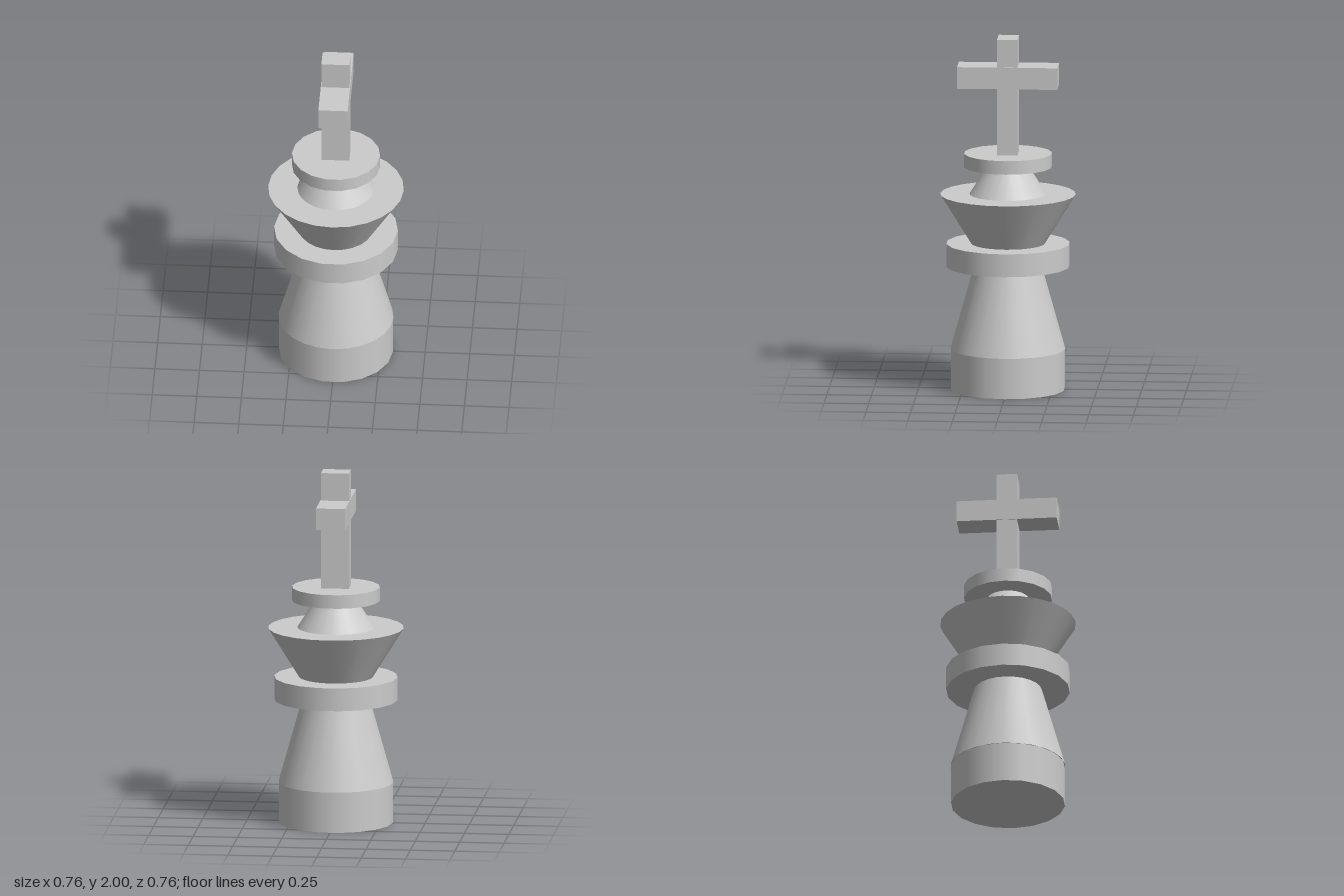
import * as THREE from 'three';

export function createModel() {
  const group = new THREE.Group();
  const material = new THREE.MeshStandardMaterial({ color: 0xcccccc });

  const add = (name, geometry, y0, y1) => {
    const mesh = new THREE.Mesh(geometry, material);
    mesh.name = name;
    mesh.position.y = (y0 + y1) / 2;
    group.add(mesh);
  };
  // Turned section between two heights, with a corner on the x axis
  const turned = (name, y0, y1, rBottom, rTop, sides) =>
    add(name, new THREE.CylinderGeometry(rTop, rBottom, y1 - y0, sides, 1, false, Math.PI / 2), y0, y1);
  const block = (name, y0, y1, width, depth) =>
    add(name, new THREE.BoxGeometry(width, y1 - y0, depth), y0, y1);

  // Turned body, from the foot up
  turned('base', 0, 0.23, 0.32, 0.32, 18);
  turned('body', 0.23, 0.7, 0.322, 0.19, 24);
  turned('collar', 0.7, 0.83, 0.347, 0.347, 18);
  turned('crown', 0.83, 1.11, 0.207, 0.38, 24);
  turned('crownDome', 1.11, 1.265, 0.216, 0.116, 24);
  turned('topDisc', 1.265, 1.342, 0.247, 0.247, 18);

  // Cross, with its arms along z
  block('crossPost', 1.342, 2, 0.157, 0.115);
  block('crossArms', 1.72, 1.843, 0.164, 0.562);

  return group;
}
